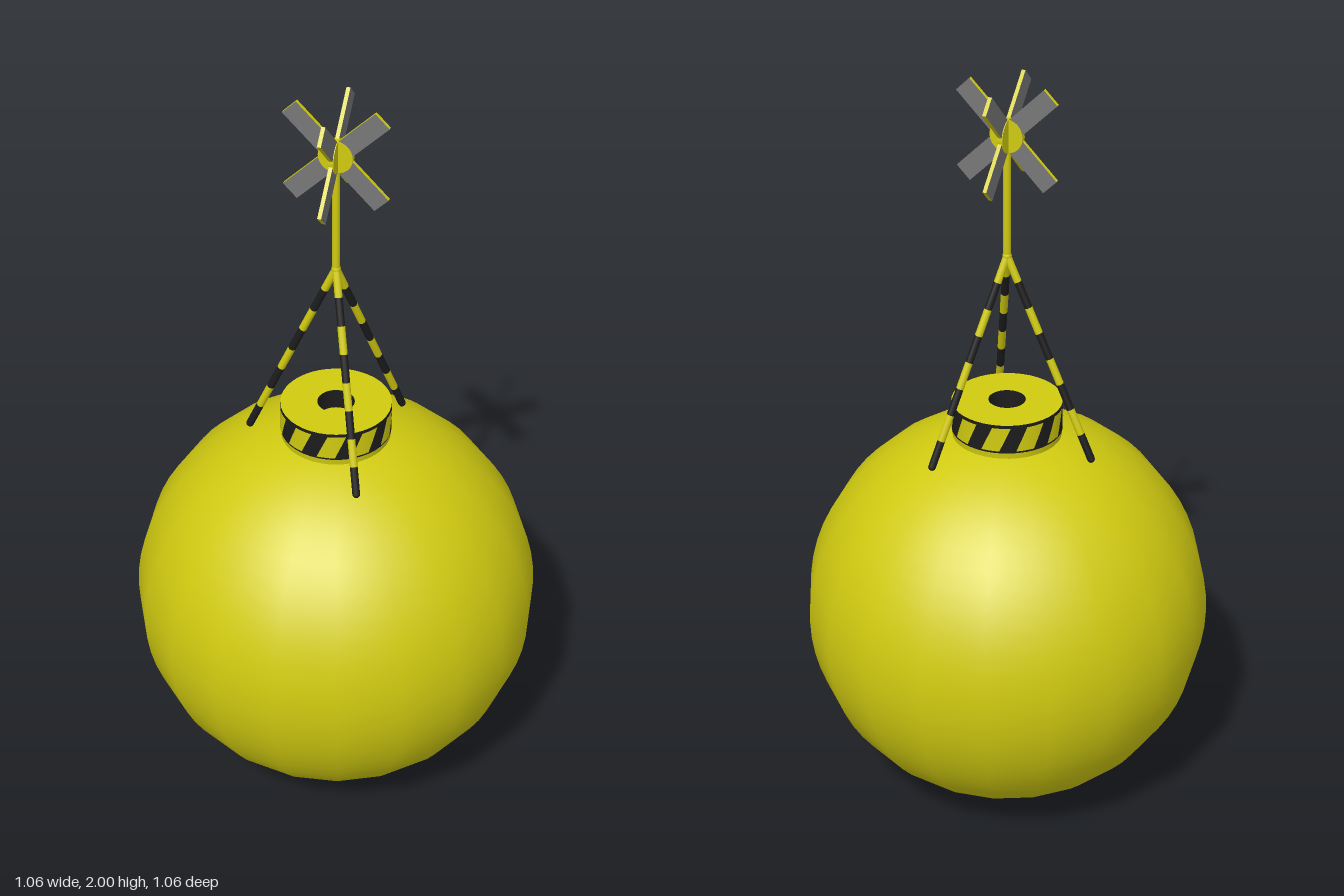
import * as THREE from 'three';

const paint = (color) => new THREE.MeshStandardMaterial({ color });
const yellow = paint(0xd0ca10);
const black = paint(0x1c1c1c);
const grey = paint(0x777777);

function add(parent, name, geometry, material) {
  const mesh = new THREE.Mesh(geometry, material);
  mesh.name = name;
  parent.add(mesh);
  return mesh;
}

// Surface of revolution between two [radius, y] points
function ring(parent, name, from, to, material) {
  const points = [from, to].map(([r, y]) => new THREE.Vector2(r, y));
  return add(parent, name, new THREE.LatheGeometry(points, 40), material);
}

// Round rod between two points
function rod(parent, name, a, b, radius, material) {
  const mesh = add(parent, name, new THREE.CylinderGeometry(radius, radius, a.distanceTo(b), 12), material);
  mesh.position.lerpVectors(a, b, 0.5);
  mesh.quaternion.setFromUnitVectors(new THREE.Vector3(0, 1, 0), b.clone().sub(a).normalize());
  return mesh;
}

// Slanted patch wrapped around the collar
function stripeGeometry(radius, arc, height, slant) {
  const geometry = new THREE.PlaneGeometry(arc, height, 8, 2);
  const p = geometry.attributes.position;
  for (let i = 0; i < p.count; i++) {
    const angle = p.getX(i) + (p.getY(i) / height) * slant;
    p.setXYZ(i, Math.sin(angle) * radius, p.getY(i), Math.cos(angle) * radius);
  }
  geometry.computeVertexNormals();
  return geometry;
}

function makeCollar() {
  const collar = new THREE.Group();
  collar.name = 'collar';
  ring(collar, 'collarNeck', [0.14, 1.03], [0.143, 1.06], yellow);
  ring(collar, 'collarBand', [0.143, 1.06], [0.143, 1.14], black);
  ring(collar, 'collarTop', [0.143, 1.14], [0.048, 1.14], yellow);
  ring(collar, 'wellWall', [0.048, 1.14], [0.048, 1.085], black);
  ring(collar, 'wellFloor', [0.048, 1.085], [0, 1.085], yellow);
  // Hazard stripes
  const count = 10;
  const geometry = stripeGeometry(0.1445, 0.33, 0.066, 0.2);
  for (let i = 0; i < count; i++) {
    const stripe = add(collar, 'collarStripe', geometry, yellow);
    stripe.position.y = 1.099;
    stripe.rotation.y = ((i + 0.35) / count) * Math.PI * 2;
  }
  return collar;
}

// Banded leg running from the float up to the mast
function makeLeg(angle) {
  const leg = new THREE.Group();
  leg.name = 'leg';
  const foot = new THREE.Vector3(0.235 * Math.cos(angle), 1.018, 0.235 * Math.sin(angle));
  const apex = new THREE.Vector3(0, 1.545, 0);
  const bands = 8;
  for (let i = 0; i < bands; i++) {
    const a = foot.clone().lerp(apex, i / bands);
    const b = foot.clone().lerp(apex, (i + 1) / bands);
    rod(leg, 'legBand', a, b, 0.01, i % 2 ? yellow : black);
  }
  add(leg, 'legFoot', new THREE.SphereGeometry(0.01, 12, 8), black).position.copy(foot);
  return leg;
}

// Diagonal cross of two plates with a round boss
function makeCross() {
  const cross = new THREE.Group();
  cross.name = 'topCross';
  const plate = new THREE.BoxGeometry(0.328, 0.05, 0.01);
  for (const side of [-1, 1]) {
    const arm = add(cross, 'crossArm', plate, [yellow, yellow, yellow, yellow, grey, grey]);
    arm.rotation.z = (side * Math.PI) / 4;
  }
  const boss = add(cross, 'crossBoss', new THREE.CylinderGeometry(0.044, 0.044, 0.014, 24), yellow);
  boss.rotation.x = Math.PI / 2;
  cross.position.y = 1.867;
  return cross;
}

export function createModel() {
  const model = new THREE.Group();
  model.name = 'buoy';

  // Float
  add(model, 'float', new THREE.SphereGeometry(0.532, 20, 32), yellow).position.y = 0.532;
  model.add(makeCollar());

  // Tripod and mast
  for (let i = 0; i < 3; i++) model.add(makeLeg(Math.PI + (i * Math.PI * 2) / 3));
  add(model, 'mastJoint', new THREE.SphereGeometry(0.012, 12, 8), yellow).position.y = 1.545;
  rod(model, 'mast', new THREE.Vector3(0, 1.54, 0), new THREE.Vector3(0, 1.87, 0), 0.01, yellow);

  // Two crosses at right angles
  for (const turn of [0, Math.PI / 2]) {
    const cross = makeCross();
    cross.rotation.y = turn;
    model.add(cross);
  }
  return model;
}
